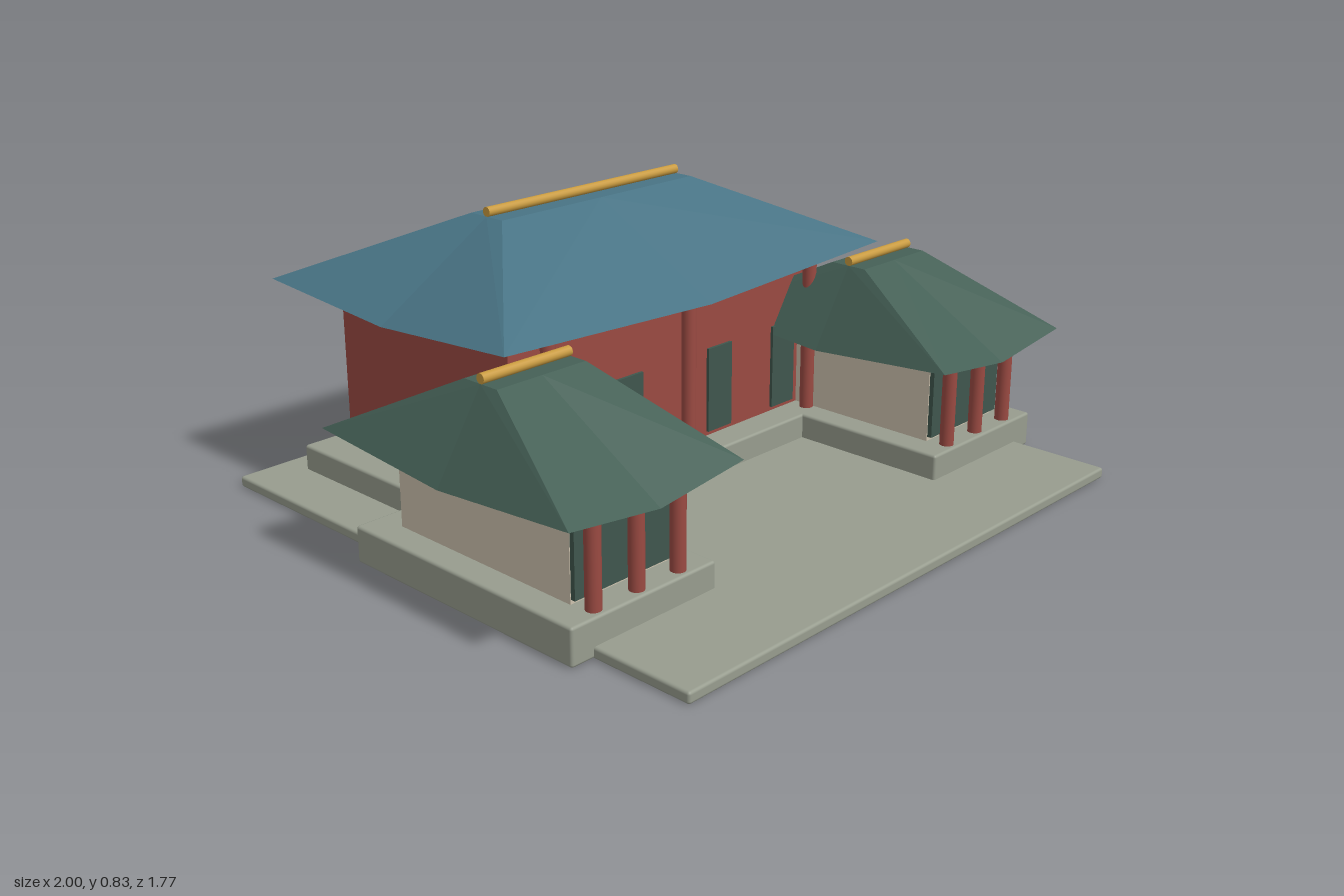
import * as THREE from 'three';
import { RoundedBoxGeometry } from 'three/addons/geometries/RoundedBoxGeometry.js';

const mat = (name, color, extra = {}) => {
  const m = new THREE.MeshStandardMaterial({ color, ...extra });
  m.name = name;
  return m;
};

export function createModel() {
  const stone = mat('stone', 0x979c8e);
  const red = mat('red', 0x9a4a42);
  const cream = mat('cream', 0xcdc2ae);
  const doorGreen = mat('doorGreen', 0x3f564d);
  const gold = mat('gold', 0xc99b40);
  const roofOptions = { side: THREE.DoubleSide, flatShading: true };
  const blueTile = mat('blueTile', 0x487384, roofOptions);
  const greenTile = mat('greenTile', 0x456056, roofOptions);

  const model = new THREE.Group();
  model.name = 'courtyardHall';

  const add = (parent, name, geometry, material, x = 0, y = 0, z = 0) => {
    const mesh = new THREE.Mesh(geometry, material);
    mesh.name = name;
    mesh.position.set(x, y, z);
    parent.add(mesh);
    return mesh;
  };

  // Box given by its extents; radius softens the edges
  const box = (parent, name, material, [x0, x1], [y0, y1], [z0, z1], radius = 0) => {
    const size = [x1 - x0, y1 - y0, z1 - z0];
    const geometry = radius
      ? new RoundedBoxGeometry(...size, 2, radius)
      : new THREE.BoxGeometry(...size);
    return add(parent, name, geometry, material, (x0 + x1) / 2, (y0 + y1) / 2, (z0 + z1) / 2);
  };

  const column = (parent, x, z, y0, y1) =>
    add(parent, 'column', new THREE.CylinderGeometry(0.021, 0.021, y1 - y0, 16), red, x, (y0 + y1) / 2, z);

  // Hipped roof: eave ring with raised corners joined to a small flat top
  const roof = (parent, material, cx, cz, eave, top, yMid, yCorner, yTop) => {
    const ring = [[-1, 1], [0, 1], [1, 1], [1, 0], [1, -1], [0, -1], [-1, -1], [-1, 0]];
    const positions = [];
    const index = [];
    ring.forEach(([sx, sz], i) => {
      positions.push(sx * eave[0], sx && sz ? yCorner : yMid, sz * eave[1]);
      positions.push(sx * top[0], yTop, sz * top[1]);
      const a = i * 2, b = ((i + 1) % 8) * 2;
      // Mirror the diagonal on alternate panels to keep each slope symmetric
      if (i % 2) index.push(a, b, a + 1, b, b + 1, a + 1);
      else index.push(a, b, b + 1, a, b + 1, a + 1);
      index.push(a + 1, b + 1, 16);
    });
    positions.push(0, yTop, 0);
    const geometry = new THREE.BufferGeometry();
    geometry.setAttribute('position', new THREE.Float32BufferAttribute(positions, 3));
    geometry.setIndex(index);
    const flat = geometry.toNonIndexed();
    flat.computeVertexNormals();
    add(parent, 'roof', flat, material, cx, 0, cz);

    // Gold ridge beam
    const beam = new THREE.CylinderGeometry(0.014, 0.014, top[0] * 2, 16).rotateZ(Math.PI / 2);
    add(parent, 'ridgeBeam', beam, gold, cx, yTop + 0.013, cz);
  };

  // Courtyard slab
  box(model, 'courtyardSlab', stone, [-0.885, 0.885], [0, 0.032], [-0.885, 0.885], 0.008);

  // Main hall
  const hall = new THREE.Group();
  hall.name = 'mainHall';
  model.add(hall);
  box(hall, 'hallPlatform', stone, [-0.72, 0.72], [0.005, 0.106], [-0.795, 0.095], 0.008);
  box(hall, 'hallWalls', red, [-0.62, 0.62], [0.106, 0.566], [-0.705, 0]);
  for (const x of [-0.47, -0.185, 0.185, 0.47])
    box(hall, 'hallDoor', doorGreen, [x - 0.05, x + 0.05], [0.12, 0.376], [0, 0.009]);
  for (const x of [-0.53, 0, 0.53]) column(hall, x, 0.055, 0.106, 0.566);
  roof(hall, blueTile, 0, -0.355, [0.75, 0.495], [0.375, 0.065], 0.57, 0.603, 0.8);

  // Side pavilions
  for (const side of [-1, 1]) {
    const pavilion = new THREE.Group();
    pavilion.name = side > 0 ? 'leftPavilion' : 'rightPavilion';
    pavilion.position.x = side * 0.71;
    model.add(pavilion);
    box(pavilion, 'pavilionPlatform', stone, [-0.245, 0.245], [0.002, 0.106], [-0.23, 0.583], 0.008);
    box(pavilion, 'pavilionWalls', cream, [-0.165, 0.165], [0.106, 0.338], [-0.14, 0.495]);
    box(pavilion, 'pavilionScreen', doorGreen, [-0.165, 0.165], [0.12, 0.37], [0.497, 0.511]);
    for (const x of [-0.143, 0, 0.143]) column(pavilion, x, 0.55, 0.106, 0.34);
    roof(pavilion, greenTile, 0, 0.173, [0.29, 0.458], [0.145, 0.06], 0.34, 0.375, 0.57);
  }

  return model;
}
